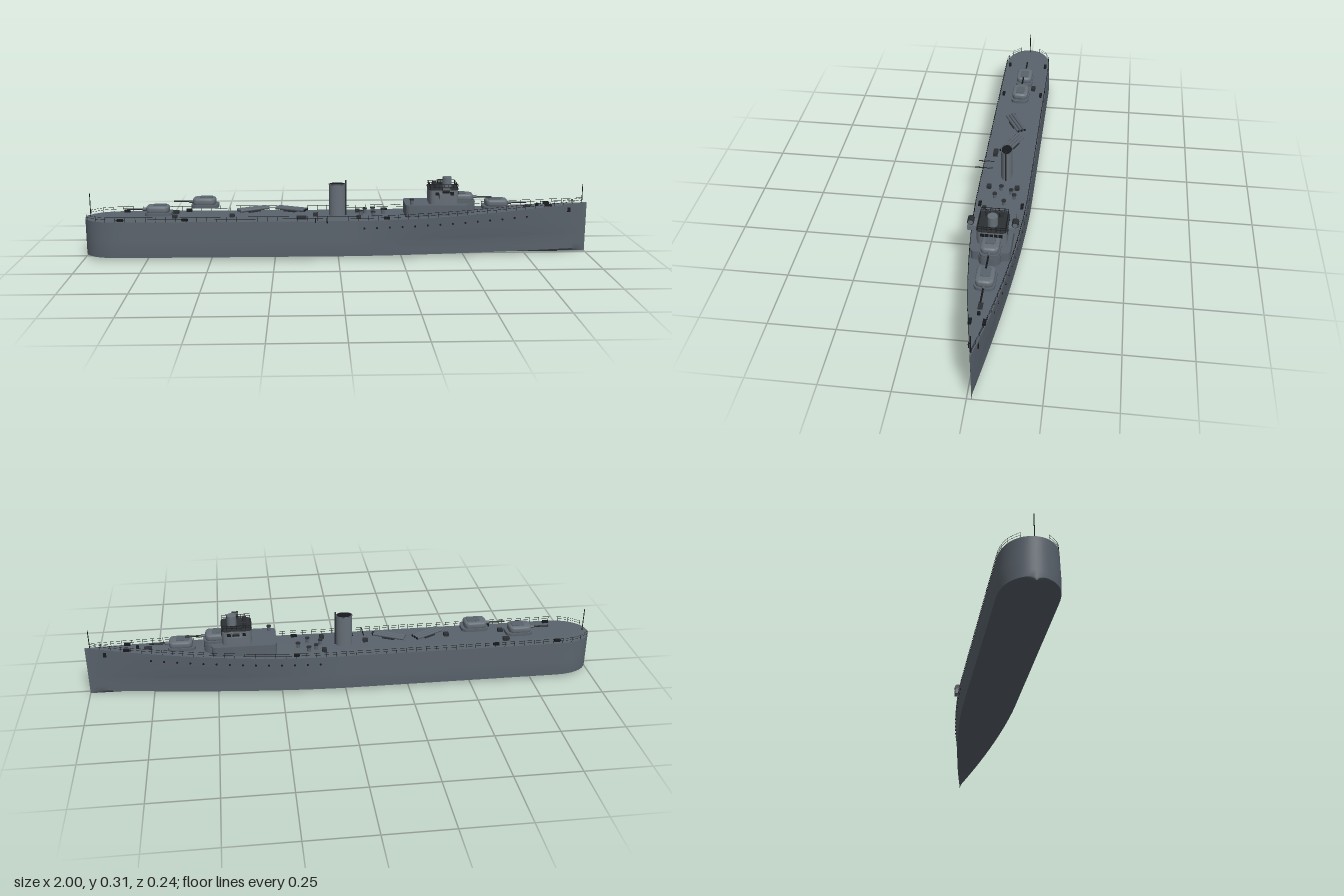
import * as THREE from 'three';
import { mergeGeometries, toCreasedNormals } from 'three/addons/utils/BufferGeometryUtils.js';

const mat = (name, color, side = THREE.FrontSide) => {
  const m = new THREE.MeshStandardMaterial({ color, side });
  m.name = name;
  return m;
};

// hull lines: deck height, deck half width, lower half width
const deckY = x => 0.155 + (x > 0.1 ? 0.047 * Math.pow((x - 0.1) / 0.9, 1.5) : 0);
const sternEnd = x => x < -0.84 ? Math.pow(Math.max(0, 1 - Math.pow((-0.84 - x) / 0.16, 2.5)), 0.5) : 1;
const bowEnd = (x, start, p) => x > start ? 1 - Math.pow((x - start) / (1 - start), p) : 1;
const deckW = x => 0.1 * sternEnd(x) * bowEnd(x, 0.1, 1.9);
const lowW = x => 0.103 * sternEnd(x) * bowEnd(x, 0, 1.6);

export function createModel() {
  const grey = mat('ship grey', 0x5a636c);
  const lightGrey = mat('fitting grey', 0x666f77);
  const black = mat('black fittings', 0x17191c);
  const dark = mat('dark bridge deck', 0x2c3034);

  const ship = new THREE.Group();
  ship.name = 'warship';
  ship.position.z = -0.016;

  const add = (name, geo, m, x = 0, y = 0, z = 0, parent = ship) => {
    const o = new THREE.Mesh(geo, m);
    o.name = name;
    o.position.set(x, y, z);
    parent.add(o);
    return o;
  };
  const box = (name, m, sx, sy, sz, x, y, z, p) => add(name, new THREE.BoxGeometry(sx, sy, sz), m, x, y, z, p);
  const cyl = (name, m, r, h, x, y, z, p, n = 16) => add(name, new THREE.CylinderGeometry(r, r, h, n), m, x, y, z, p);

  // slab with a rounded plan, standing on y
  const slab = (name, m, len, wid, h, r, x, y, z = 0, p = ship, bevel = 0) => {
    const s = new THREE.Shape(), a = len / 2 - bevel, b = wid / 2 - bevel;
    s.moveTo(-a + r, -b);
    s.lineTo(a - r, -b); s.quadraticCurveTo(a, -b, a, -b + r);
    s.lineTo(a, b - r); s.quadraticCurveTo(a, b, a - r, b);
    s.lineTo(-a + r, b); s.quadraticCurveTo(-a, b, -a, b - r);
    s.lineTo(-a, -b + r); s.quadraticCurveTo(-a, -b, -a + r, -b);
    const g = new THREE.ExtrudeGeometry(s, { depth: h - 2 * bevel, bevelEnabled: bevel > 0,
      bevelSize: bevel, bevelThickness: bevel, bevelSegments: 3, curveSegments: 6 });
    g.translate(0, 0, bevel).rotateX(-Math.PI / 2);
    return add(name, toCreasedNormals(g, 0.7), m, x, y, z, p);
  };

  // hull lofted from closed cross-sections
  const N = 72, pos = [], idx = [];
  for (let i = 0; i <= N; i++) {
    const x = -Math.cos(Math.PI * i / N), w = deckW(x), l = lowW(x), d = deckY(x);
    const half = [[w, d], [w * 0.6 + l * 0.4, 0.115], [w * 0.15 + l * 0.85, 0.078],
      [l, 0.068], [l, 0.035], [l * 0.985, 0.013], [l * 0.5, 0.007]];
    const ring = [...half, [0, 0], ...half.slice().reverse().map(([z, y]) => [-z, y]), [0, d + 0.001]];
    for (const [z, y] of ring) pos.push(x, y, z);
    const R = ring.length;
    if (i < N) for (let j = 0; j < R; j++) {
      const a = i * R + j, c = i * R + (j + 1) % R, b = a + R, e = c + R;
      idx.push(a, c, b, c, e, b);
    }
  }
  const hull = new THREE.BufferGeometry();
  hull.setAttribute('position', new THREE.Float32BufferAttribute(pos, 3));
  hull.setIndex(idx);
  add('hull', toCreasedNormals(hull, 0.6), grey);

  // guard rails along both deck edges
  const rails = [], along = [];
  for (let i = 0; i <= 50; i++) along.push(-0.985 + 1.965 * i / 50);
  for (const s of [1, -1]) {
    for (const h of [0.01, 0.019]) {
      const path = new THREE.CatmullRomCurve3(along.map(x =>
        new THREE.Vector3(x, deckY(x) + h, s * (deckW(x) - 0.002))));
      rails.push(new THREE.TubeGeometry(path, 100, 0.0006, 4));
    }
    for (const x of along)
      rails.push(new THREE.BoxGeometry(0.0014, 0.02, 0.0014)
        .translate(x, deckY(x) + 0.01, s * (deckW(x) - 0.002)));
  }
  add('guardRails', mergeGeometries(rails), black);

  // portholes and anchors on both sides
  for (const s of [1, -1]) {
    for (let i = 0; i < 14; i++) {
      const x = 0.1 + i * 0.05, y = deckY(x) - 0.03, k = (y - 0.115) / (deckY(x) - 0.115);
      const z = deckW(x) * (0.6 + 0.4 * k) + lowW(x) * 0.4 * (1 - k);
      cyl('porthole', black, 0.004, 0.006, x, y, s * z, ship, 10).rotation.x = Math.PI / 2;
    }
    box('anchor', black, 0.012, 0.018, 0.006, 0.925, 0.175, s * (deckW(0.925) * 0.95));
    for (const x of [-0.85, -0.6, 0.19, 0.84])
      box('bollards', black, 0.024, 0.009, 0.011, x, deckY(x) + 0.005, s * (deckW(x) * 0.84 - 0.002));
  }
  cyl('bowStaff', black, 0.0016, 0.075, 0.98, 0.238, 0, ship, 6);
  cyl('sternStaff', black, 0.0016, 0.095, -0.98, 0.203, 0, ship, 6);

  // gun mounts, dir +1 points to the bow
  const gun = (name, x, y, dir) => {
    const g = new THREE.Group();
    g.name = name;
    g.position.set(x, y, 0);
    g.scale.setScalar(1);
    if (dir < 0) g.rotation.y = Math.PI;
    ship.add(g);
    slab('gunPlatform', grey, 0.108, 0.074, 0.012, 0.026, 0, 0, 0, g);
    slab('gunShield', lightGrey, 0.09, 0.066, 0.028, 0.014, 0.003, 0.009, 0, g, 0.008);
    slab('shieldRoof', grey, 0.05, 0.036, 0.003, 0.008, -0.005, 0.037, 0, g);
    cyl('gunBarrel', black, 0.0032, 0.09, 0.08, 0.021, 0, g, 10).rotation.z = Math.PI / 2;
    cyl('barrelSleeve', grey, 0.006, 0.02, 0.054, 0.021, 0, g, 10).rotation.z = Math.PI / 2;
  };
  gun('foreGun', 0.63, 0.182, 1);
  gun('upperForeGun', 0.49, 0.206, 1);
  gun('upperAftGun', -0.525, 0.195, -1);
  gun('aftGun', -0.71, 0.164, -1);

  // torpedo tube banks
  for (const [x, turn] of [[-0.337, 0.5], [-0.185, -0.45]]) {
    const g = new THREE.Group();
    g.name = 'torpedoTubes';
    g.position.set(x, 0.18, 0);
    g.rotation.y = turn;
    ship.add(g);
    for (let i = -1; i <= 1; i++) {
      cyl('tube', grey, 0.0062, 0.125, 0, 0.004, i * 0.014, g, 10).rotation.z = Math.PI / 2;
      cyl('tubeMouth', black, 0.005, 0.002, 0.063, 0.004, i * 0.014, g, 10).rotation.z = Math.PI / 2;
    }
    box('tubeCradle', dark, 0.05, 0.005, 0.042, 0, -0.003, 0, g);
  }

  // funnel
  const funnel = new THREE.Group();
  funnel.name = 'funnel';
  funnel.position.set(-0.003, 0.155, 0);
  funnel.scale.z = 0.68;
  ship.add(funnel);
  cyl('funnelCasing', lightGrey, 0.032, 0.128, 0, 0.064, 0, funnel, 28);
  add('funnelLip', new THREE.TorusGeometry(0.032, 0.002, 6, 28).rotateX(Math.PI / 2), grey, 0, 0.127, 0, funnel);
  cyl('funnelOpening', black, 0.029, 0.002, 0, 0.1285, 0, funnel, 28);
  cyl('steamPipe', dark, 0.0035, 0.14, 0.034, 0.072, 0, funnel, 8);

  // deckhouse and bridge
  slab('deckhouse', grey, 0.25, 0.142, 0.056, 0.02, 0.39, 0.152);
  slab('gunDeck', grey, 0.07, 0.08, 0.054, 0.03, 0.51, 0.152);
  slab('bridge', lightGrey, 0.115, 0.11, 0.057, 0.022, 0.417, 0.208);
  slab('bridgeFloor', dark, 0.118, 0.112, 0.004, 0.022, 0.417, 0.265);
  box('bridgeWings', lightGrey, 0.04, 0.021, 0.184, 0.415, 0.247, 0);
  for (let i = -2; i <= 2; i++)
    box('bridgeWindow', black, 0.006, 0.013, 0.013, 0.473, 0.251, i * 0.0165);
  for (const s of [1, -1]) {
    for (let i = 0; i < 4; i++)
      box('sideWindow', black, 0.015, 0.013, 0.006, 0.39 + i * 0.019, 0.251, s * 0.0532);
    cyl('searchlight', dark, 0.0125, 0.026, 0.42, 0.271, s * 0.08, ship, 16).rotation.z = Math.PI / 2;
    cyl('searchlightLens', lightGrey, 0.009, 0.002, 0.434, 0.271, s * 0.08, ship, 16).rotation.z = Math.PI / 2;
  }

  // bridge top rail
  const top = [];
  for (const h of [0.277, 0.286]) {
    for (const s of [1, -1]) {
      top.push(new THREE.BoxGeometry(0.108, 0.0016, 0.0016).translate(0.417, h, s * 0.05));
      top.push(new THREE.BoxGeometry(0.0016, 0.0016, 0.1).translate(0.417 + s * 0.054, h, 0));
    }
  }
  for (let i = 0; i <= 6; i++) for (const s of [1, -1]) {
    top.push(new THREE.BoxGeometry(0.0016, 0.02, 0.0016).translate(0.363 + i * 0.018, 0.277, s * 0.05));
    top.push(new THREE.BoxGeometry(0.0016, 0.02, 0.0016).translate(0.417 + s * 0.054, 0.277, -0.05 + i * 0.0167));
  }
  add('bridgeRail', mergeGeometries(top), black);
  cyl('director', lightGrey, 0.0185, 0.041, 0.434, 0.2885, 0, ship, 24);
  cyl('lookoutPost', dark, 0.008, 0.02, 0.385, 0.278, 0.025, ship, 12);
  cyl('lookoutPost', dark, 0.008, 0.02, 0.385, 0.278, -0.025, ship, 12);

  // ventilators, lockers and hatches on the main deck
  for (const [x, z] of [[0.11, -0.03], [0.14, 0.03], [0.18, -0.01], [0.14, -0.045], [0.09, 0.01], [0.29, 0.05]]) {
    const y = x > 0.27 ? 0.208 : deckY(x);
    cyl('ventilator', grey, 0.007, 0.018, x, y + 0.009, z, ship, 12);
    cyl('ventilatorCap', dark, 0.009, 0.004, x, y + 0.02, z, ship, 12);
  }
  for (const [x, z, l] of [[-0.09, 0.01, 0.02], [-0.145, 0.062, 0.04], [-0.65, -0.045, 0.025], [-0.645, 0.03, 0.02],
    [-0.42, 0.02, 0.02], [0.08, 0.06, 0.018], [0.08, -0.05, 0.018]])
    box('locker', dark, l, 0.014, 0.018, x, 0.161, z);
  box('capstanBase', dark, 0.03, 0.006, 0.016, 0.76, deckY(0.76) + 0.003, 0);
  cyl('capstan', black, 0.006, 0.012, 0.8, deckY(0.8) + 0.006, 0, ship, 12);

  // boat booms reaching over the side
  for (const [x, end] of [[-0.09, 0.124], [-0.045, 0.134]])
    cyl('boatBoom', black, 0.0022, end - 0.06, x, 0.156, (end + 0.06) / 2, ship, 8).rotation.x = Math.PI / 2;

  const root = new THREE.Group();
  root.name = 'model';
  root.add(ship);
  return root;
}
